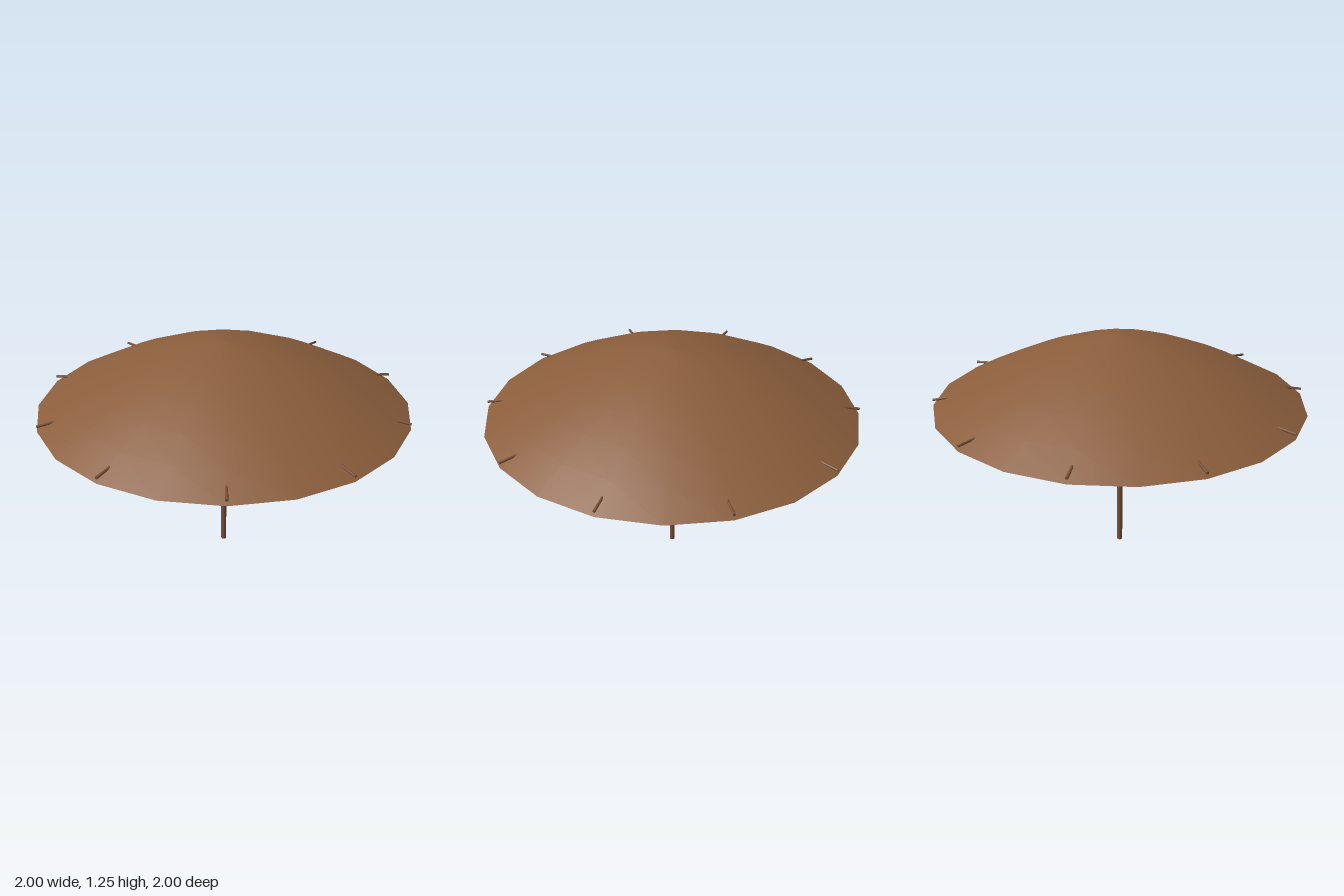
import * as THREE from 'three';

const RIM_Y = 0.885, APEX_Y = 1.25, HUB_Y = 1.05, TIP_Y = 0.915;

// Round bar between two points
function bar(name, from, to, radius, sides, material) {
  const dir = to.clone().sub(from);
  const mesh = new THREE.Mesh(new THREE.CylinderGeometry(radius, radius, dir.length(), sides), material);
  mesh.position.copy(from).add(to).multiplyScalar(0.5);
  mesh.quaternion.setFromUnitVectors(new THREE.Vector3(0, 1, 0), dir.normalize());
  mesh.name = name;
  return mesh;
}

export function createModel() {
  const group = new THREE.Group();
  group.name = 'parasol';

  const canopyBrown = new THREE.MeshStandardMaterial({ color: 0x8b5e3c, side: THREE.DoubleSide });
  canopyBrown.name = 'canopy brown';
  const woodBrown = new THREE.MeshStandardMaterial({ color: 0x7a5035 });
  woodBrown.name = 'wood brown';

  // Canopy: shallow open dome with twenty sides
  const rings = 6;
  const profile = [];
  for (let i = rings; i >= 0; i--) {
    const r = i / rings;
    profile.push(new THREE.Vector2(r, APEX_Y - (APEX_Y - RIM_Y) * Math.pow(r, 1.5)));
  }
  const canopy = new THREE.Mesh(new THREE.LatheGeometry(profile, 20), canopyBrown);
  canopy.name = 'canopy';
  group.add(canopy);

  // Pole from the ground to the hub
  group.add(bar('pole', new THREE.Vector3(0, 0, 0), new THREE.Vector3(0, HUB_Y, 0), 0.015, 12, woodBrown));

  // Ten straight ribs whose tips poke out above the rim
  const ribs = new THREE.Group();
  ribs.name = 'ribs';
  const hub = new THREE.Vector3(0, HUB_Y, 0);
  for (let i = 0; i < 10; i++) {
    const a = (i / 10) * Math.PI * 2;
    const tip = new THREE.Vector3(Math.cos(a), TIP_Y, Math.sin(a));
    ribs.add(bar('rib', hub, tip, 0.007, 8, woodBrown));
  }
  group.add(ribs);

  return group;
}
